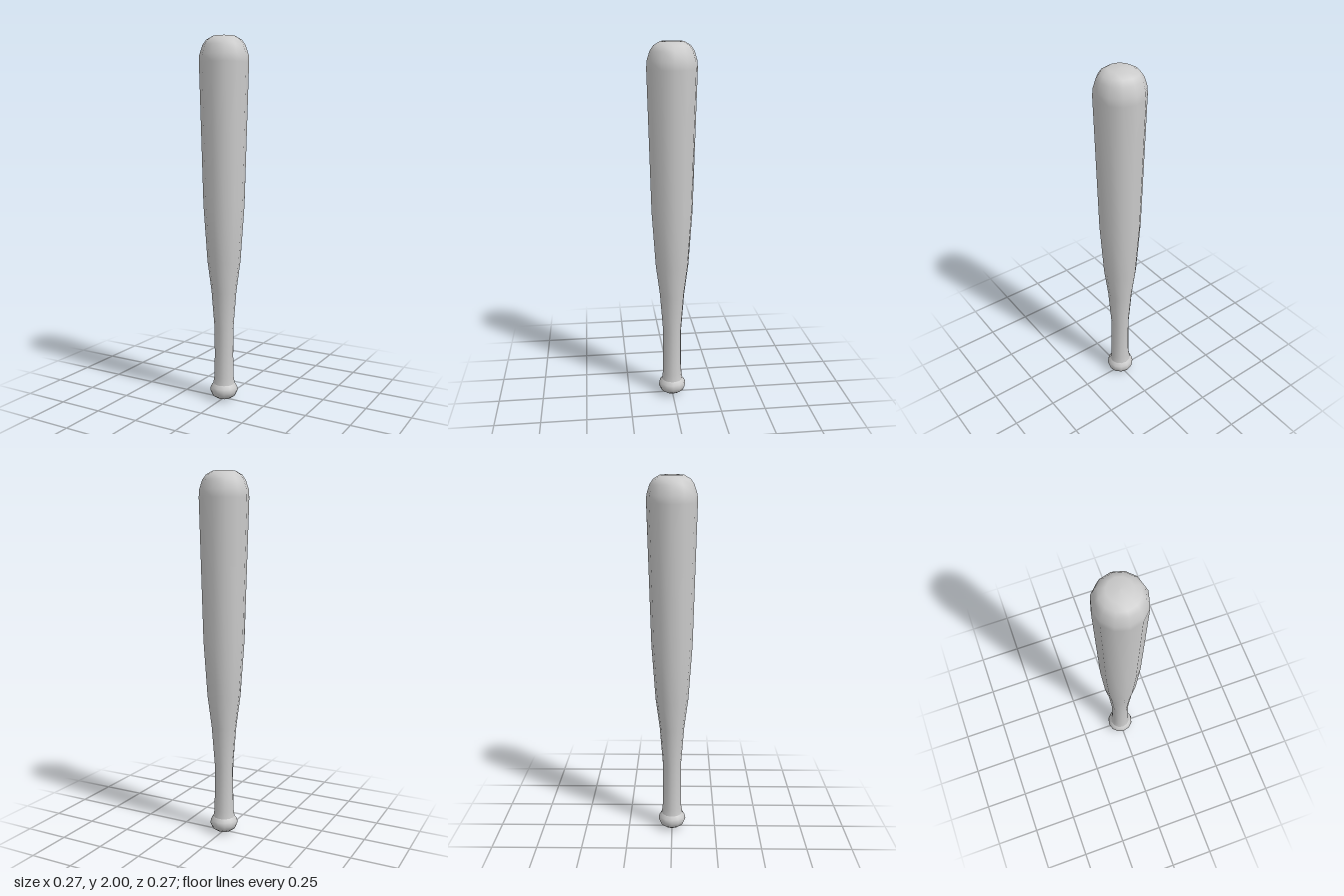
import * as THREE from 'three';

const SIDES = 12;

// Smooth turned part from [radius, height] pairs, listed bottom to top
function turned(name, profile) {
  const points = profile.map(([r, y]) => new THREE.Vector2(r, y));
  const mesh = new THREE.Mesh(
    new THREE.LatheGeometry(points, SIDES),
    new THREE.MeshStandardMaterial({ color: 0xcccccc })
  );
  mesh.name = name;
  return mesh;
}

export function createModel() {
  const bat = new THREE.Group();
  bat.name = 'baseballBat';

  // Rounded grip end; its upper rim meets the handle in a crease
  bat.add(turned('knob', [
    [0, 0], [0.045, 0.008], [0.068, 0.025], [0.078, 0.05], [0.074, 0.072], [0.06, 0.09],
  ]));

  // Handle flaring at the foot, long taper and domed barrel
  bat.add(turned('handleAndBarrel', [
    [0.06, 0.09], [0.054, 0.13], [0.052, 0.24], [0.052, 0.4], [0.069, 0.62],
    [0.091, 0.79], [0.112, 1.1], [0.133, 1.86], [0.131, 1.9], [0.115, 1.95],
    [0.096, 1.977], [0.062, 1.997], [0, 2],
  ]));

  return bat;
}
